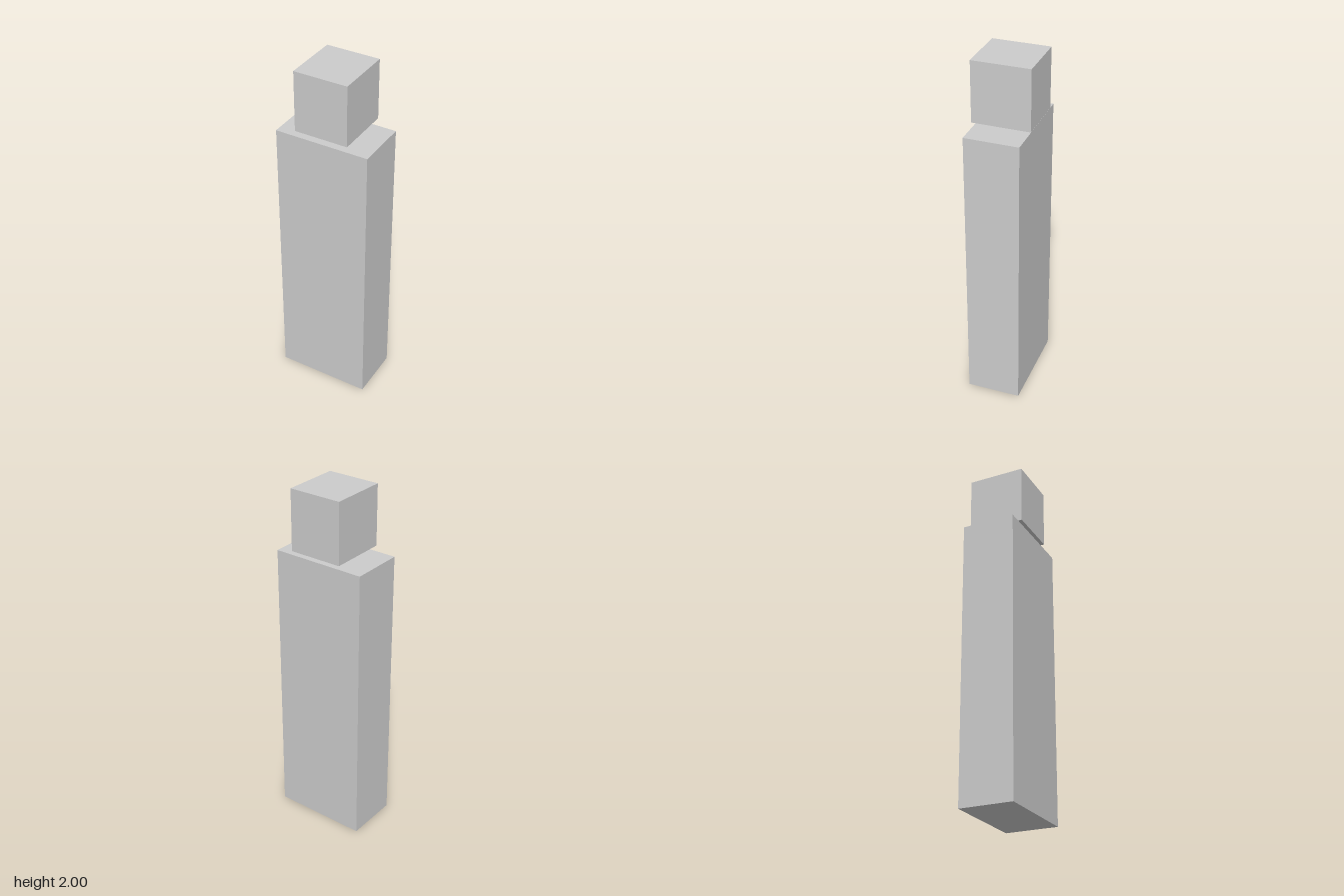
import * as THREE from 'three';

// Box given by its minimum and maximum corners
function block(name, min, max, material) {
  const size = max.map((v, i) => v - min[i]);
  const mesh = new THREE.Mesh(new THREE.BoxGeometry(...size), material);
  mesh.position.set(...max.map((v, i) => (v + min[i]) / 2));
  mesh.name = name;
  return mesh;
}

export function createModel() {
  const model = new THREE.Group();
  model.name = 'blockFigure';
  const grey = new THREE.MeshStandardMaterial({ color: 0xcccccc, flatShading: true });

  // Tall body, flush with the head at the front
  model.add(block('body', [-0.269, 0, -0.143], [0.269, 1.625, 0.162], grey));

  // Head floating just above the body
  model.add(block('head', [-0.153, 1.657, -0.163], [0.153, 2, 0.162], grey));

  return model;
}
